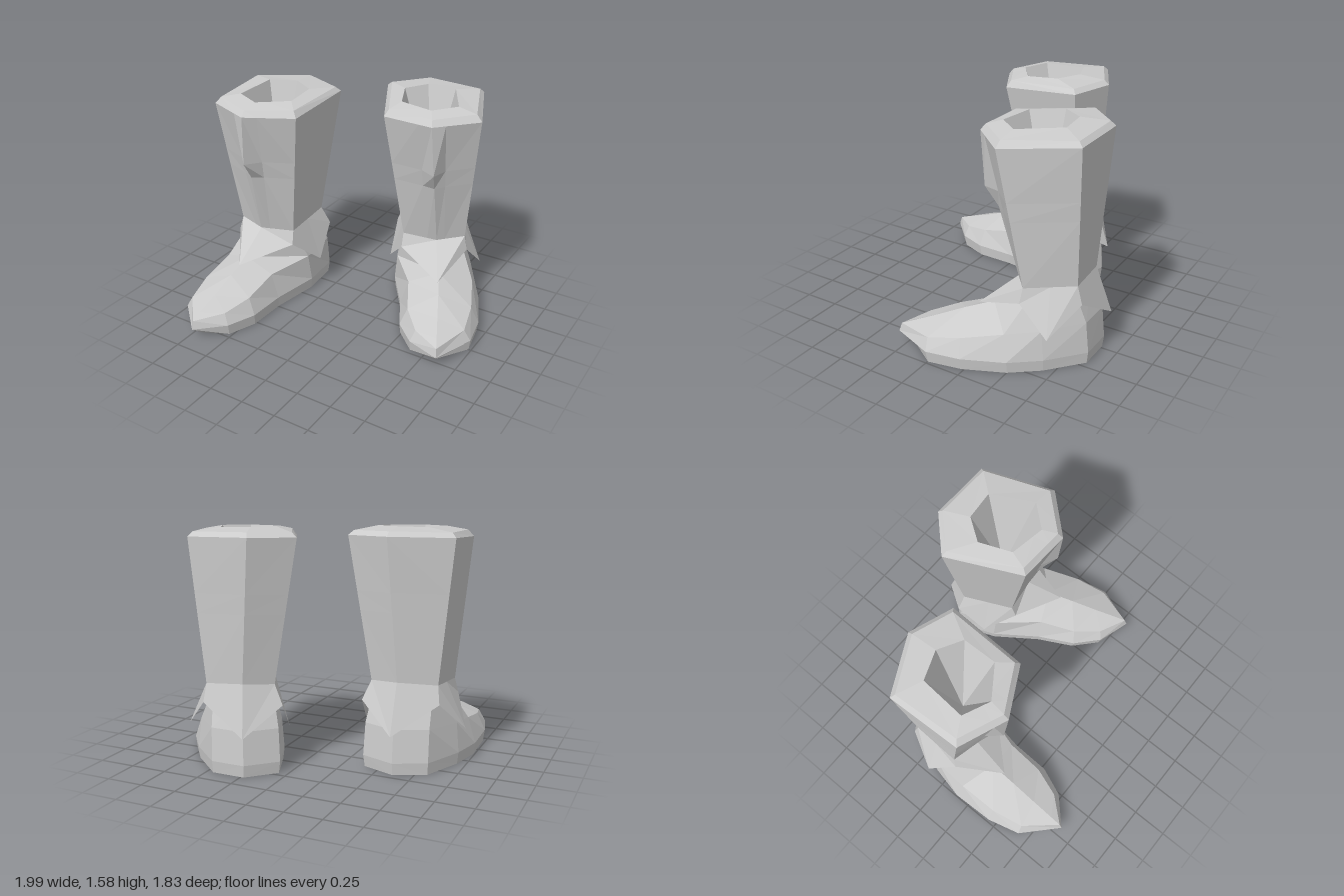
import * as THREE from 'three';

const mix = (a, b, t) => a.map((v, i) => v + (b[i] - v) * t);

// Skins a stack of closed rings (clockwise from above, listed outward-facing upwards).
function loft(name, rings, mirror, side = THREE.FrontSide) {
  const pos = [];
  const va = new THREE.Vector3(), vb = new THREE.Vector3(), vc = new THREE.Vector3();
  const tri = (a, b, c) => {
    va.fromArray(a); vb.fromArray(b).sub(va); vc.fromArray(c).sub(va);
    if (vb.cross(vc).length() < 1e-7) return;
    for (const p of mirror ? [a, c, b] : [a, b, c]) pos.push(mirror ? -p[0] : p[0], p[1], p[2]);
  };
  for (let r = 0; r < rings.length - 1; r++) {
    const lo = rings[r], hi = rings[r + 1], n = lo.length;
    for (let i = 0; i < n; i++) {
      const j = (i + 1) % n;
      tri(lo[i], hi[i], hi[j]);
      tri(lo[i], hi[j], lo[j]);
    }
  }
  const geo = new THREE.BufferGeometry();
  geo.setAttribute('position', new THREE.Float32BufferAttribute(pos, 3));
  geo.computeVertexNormals();
  const mesh = new THREE.Mesh(geo, new THREE.MeshStandardMaterial({ color: 0xcccccc, flatShading: true, side }));
  mesh.name = name;
  return mesh;
}

// Hexagons: front, outer front, outer back, back, inner back, inner front
const ankleHex = [[-.67, .53, .105], [-.87, .55, .06], [-.86, .58, -.28], [-.62, .6, -.39], [-.42, .58, -.32], [-.43, .54, .04]];
const cuffHex = [[-.6, 1.485, .35], [-.925, 1.485, .22], [-.95, 1.52, -.28], [-.57, 1.53, -.47], [-.27, 1.52, -.365], [-.28, 1.485, .18]];
const rimHex = [[-.6, 1.525, .315], [-.89, 1.53, .195], [-.92, 1.55, -.26], [-.57, 1.56, -.435], [-.3, 1.55, -.34], [-.31, 1.53, .16]];
const mouthHex = [[-.59, 1.55, .21], [-.77, 1.555, .13], [-.75, 1.57, -.18], [-.56, 1.575, -.25], [-.4, 1.57, -.16], [-.39, 1.555, .07]];

// Adds a point on either side of the front edge so the shin fold stays narrow
const withFold = h => [h[0], mix(h[0], h[1], .28), ...h.slice(1), mix(h[0], h[5], .28)];

function shaft(mirror) {
  const low = withFold(ankleHex), top = withFold(cuffHex);
  const between = (t, push) => low.map((p, i) => {
    const q = mix(p, top[i], t);
    if (i === 0) q[2] += push;
    return q;
  });
  return loft('shaft', [
    low, between(.487, .01), between(.624, .065), top,
    withFold(rimHex), withFold(mouthHex), low.map(() => [-.6, .9, -.06]),
  ], mirror);
}

// Flared ankle collar with four hanging points
function collar(mirror) {
  const h = ankleHex;
  const upper = [h[0], h[1], mix(h[1], h[2], .5), h[2], h[3], h[4], mix(h[4], h[5], .5), h[5]];
  const lower = [
    [-.69, .33, .36], [-.89, .45, .08], [-1, .26, -.1], [-.88, .46, -.31],
    [-.62, .27, -.5], [-.37, .45, -.36], [-.33, .24, -.16], [-.42, .44, .07],
  ];
  return loft('ankleCollar', [lower, upper], mirror, THREE.DoubleSide);
}

// Foot outline from the toe round the outer side: x, z, shoulder height, then the top point
const footOutline = [
  [-.70, .90, .14, -.70, .17, .80],
  [-.93, .68, .16, -.70, .22, .64],
  [-.99, .45, .20, -.70, .29, .45],
  [-1.0, .15, .25, -.70, .35, .26],
  [-.95, -.08, .28, -.84, .50, .00],
  [-.83, -.36, .30, -.82, .52, -.26],
  [-.62, -.46, .30, -.62, .52, -.36],
  [-.39, -.38, .30, -.43, .52, -.30],
  [-.37, -.10, .28, -.45, .50, .00],
  [-.43, .25, .26, -.70, .35, .26],
  [-.44, .53, .20, -.70, .29, .45],
  [-.52, .73, .16, -.70, .22, .64],
];

function foot(mirror) {
  const centre = footOutline.map(() => [-.68, 0, .2]);
  const sole = footOutline.map(([x, z]) => [-.68 + (x + .68) * .97, 0, Math.min(z * .98, .8)]);
  const welt = footOutline.map(([x, z]) => [x, .08, z]);
  const top = footOutline.map(p => p.slice(3));
  const shoulder = footOutline.map(([x, z, y], i) => {
    const q = mix([x, y, z], top[i], .2);
    q[1] = y;
    return q;
  });
  return loft('foot', [centre, sole, welt, shoulder, top], mirror, THREE.DoubleSide);
}

function boot(name, mirror) {
  const g = new THREE.Group();
  g.name = name;
  g.add(shaft(mirror), collar(mirror), foot(mirror));
  return g;
}

export function createModel() {
  const model = new THREE.Group();
  model.name = 'boots';
  const right = boot('rightBoot', false);
  // The left boot is mirrored, turned outwards and set further back
  const left = boot('leftBoot', true);
  left.rotation.y = .445;
  left.position.set(-.139, 0, -.207);
  model.add(right, left);
  return model;
}
